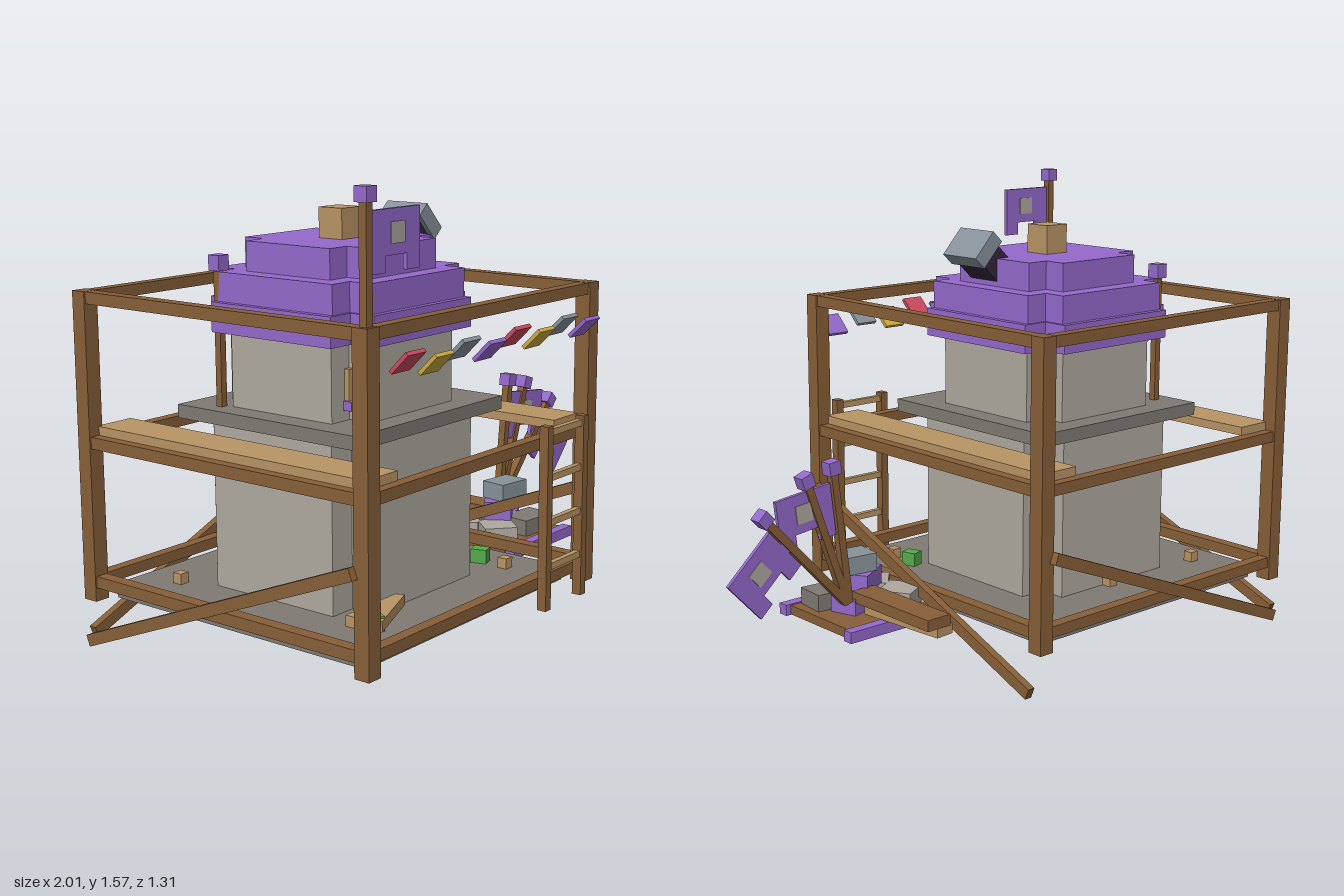
import * as THREE from 'three';

const mat = (name, color) => {
  const m = new THREE.MeshStandardMaterial({ color });
  m.name = name;
  return m;
};

export function createModel() {
  const M = {
    wood: mat('brown wood', 0x875f38),
    plank: mat('light plank', 0xb89464),
    purple: mat('purple', 0x9469cc),
    stone: mat('light stone', 0xaea89f),
    slab: mat('dark stone', 0x7f7a73),
    iron: mat('grey iron', 0x88929a),
    red: mat('red cloth', 0xcc4a5e),
    yellow: mat('yellow cloth', 0xcfab40),
    green: mat('green', 0x54aa4a),
    dark: mat('dark opening', 0x33263a),
  };
  const model = new THREE.Group();
  model.name = 'watchtower';
  const CX = -0.37, CZ = -0.025;

  const box = (name, m, w, h, d, x, y, z, parent = model) => {
    const mesh = new THREE.Mesh(new THREE.BoxGeometry(w, h, d), m);
    mesh.position.set(x, y, z);
    mesh.name = name;
    parent.add(mesh);
    return mesh;
  };
  const group = (name, x = 0, y = 0, z = 0) => {
    const g = new THREE.Group();
    g.name = name;
    g.position.set(x, y, z);
    model.add(g);
    return g;
  };

  // Plus-shaped storey; outline extruded upward so the notched corners stay clean
  const plus = (name, m, a, b, y0, y1) => {
    const pts = [[a, -b], [a, b], [b, b], [b, a], [-b, a], [-b, b], [-a, b], [-a, -b], [-b, -b], [-b, -a], [b, -a], [b, -b]];
    const shape = new THREE.Shape(pts.map(([x, y]) => new THREE.Vector2(x, y)));
    const g = new THREE.ExtrudeGeometry(shape, { depth: y1 - y0, bevelEnabled: false });
    g.rotateX(-Math.PI / 2);
    const mesh = new THREE.Mesh(g, m);
    mesh.position.set(CX, y0, CZ);
    mesh.name = name;
    model.add(mesh);
  };

  // Base: a top plate with skirts, open underneath
  box('baseTop', M.slab, 1.06, 0.01, 1.06, CX, 0.195, CZ);
  for (const s of [-1, 1]) {
    box('baseSkirt', M.slab, 0.008, 0.04, 1.06, CX + s * 0.526, 0.17, CZ);
    box('baseSkirt', M.slab, 1.044, 0.04, 0.008, CX, 0.17, CZ + s * 0.526);
  }

  // Tower
  plus('lowerWall', M.stone, 0.345, 0.25, 0.2, 0.755);
  box('ledge', M.slab, 0.756, 0.045, 0.756, CX, 0.778, CZ);
  plus('upperWall', M.stone, 0.295, 0.21, 0.8, 1.047);
  plus('roofLower', M.purple, 0.343, 0.25, 1.047, 1.145);
  plus('roofMiddle', M.purple, 0.322, 0.24, 1.145, 1.24);
  plus('roofUpper', M.purple, 0.256, 0.175, 1.24, 1.337);
  box('chimney', M.plank, 0.097, 0.1, 0.097, CX, 1.387, CZ);

  // Hooded roof vent, tilted outward
  const vent = group('roofVent', -0.06, 1.372, 0.024);
  vent.rotation.z = 0.75;
  box('ventHood', M.iron, 0.054, 0.118, 0.168, 0, 0, 0, vent);
  box('ventThroat', M.dark, 0.1, 0.093, 0.134, -0.075, 0, 0, vent);

  // Corner finial and wall lamps
  box('finialPole', M.wood, 0.024, 0.44, 0.024, -0.68, 1.02, -0.27);
  box('finialCap', M.purple, 0.046, 0.05, 0.046, -0.68, 1.268, -0.27);
  for (const x of [-0.592, -0.148]) {
    box('lampStem', M.plank, 0.022, 0.1, 0.018, x, 0.915, 0.194);
    box('lampFoot', M.purple, 0.04, 0.03, 0.034, x, 0.85, 0.204);
  }

  // Timber frame
  const px = [-0.948, 0.209], pz = [-0.605, 0.555];
  for (const x of px) for (const z of pz) box('framePost', M.wood, 0.055, 1.03, 0.055, x, 0.665, z);
  for (const y of [0.216, 0.686, 1.16]) {
    for (const x of px) box('sideBeam', M.wood, 0.043, 0.039, 1.16, x, y, CZ);
    for (const z of pz) box('crossBeam', M.wood, 1.156, 0.038, 0.041, CX, y, z);
  }
  for (const x of [-0.86, 0.118]) box('walkway', M.plank, 0.148, 0.03, 1.13, x, 0.72, CZ);

  // Diagonal braces
  for (const x of [-0.987, 0.248]) {
    box('sideBrace', M.wood, 0.027, 0.04, 1.22, x, 0.245, CZ - 0.006).rotation.x = -0.382;
  }
  box('backBrace', M.wood, 1.21, 0.04, 0.028, CX, 0.245, -0.644).rotation.z = 0.382;

  // Ladder
  for (const x of [-0.14, 0.07]) box('ladderRail', M.wood, 0.03, 0.612, 0.033, x, 0.456, 0.631);
  for (let i = 0; i < 4; i++) box('ladderRung', M.plank, 0.19, 0.022, 0.02, -0.035, 0.292 + i * 0.149, 0.631);

  // Bunting
  const cloth = [M.red, M.yellow, M.iron, M.purple];
  for (let i = 0; i < 8; i++) {
    const b = box('bunting', cloth[i % 4], 0.085, 0.085, 0.013, -0.834 + i * 0.133, i % 2 ? 1.049 : 1.073, 0.614);
    b.rotation.x = Math.PI / 4;
  }

  // Banner with its origin at the pole cap
  const flagShape = new THREE.Shape([
    [0.018, -0.047], [0.235, -0.047], [0.235, -0.225], [0.174, -0.225], [0.174, -0.178],
    [0.08, -0.178], [0.08, -0.225], [0.018, -0.225],
  ].map(([x, y]) => new THREE.Vector2(x, y)));
  const flagGeo = new THREE.ExtrudeGeometry(flagShape, { depth: 0.014, bevelEnabled: false });
  flagGeo.translate(0, 0, -0.007);
  const banner = (x, y, z, tilt, length, hasFlag) => {
    const g = group('banner', x, y, z);
    g.rotation.z = -tilt;
    box('bannerCap', M.purple, 0.045, 0.045, 0.045, 0, 0, 0, g);
    box('bannerPole', M.wood, 0.027, length, 0.027, 0, -length / 2, 0, g);
    if (!hasFlag) return;
    const flag = new THREE.Mesh(flagGeo, M.purple);
    flag.name = 'bannerCloth';
    g.add(flag);
    box('bannerPatch', M.stone, 0.062, 0.062, 0.02, 0.133, -0.115, 0, g);
  };
  banner(-0.948, 1.547, 0.557, 0, 0.37, true);
  banner(0.593, 0.716, -0.022, 0.12, 0.475, true);
  banner(0.7, 0.69, -0.022, 0.34, 0.475, false);
  banner(0.866, 0.594, -0.022, 0.745, 0.47, true);

  // Side platform
  box('platform', M.wood, 0.36, 0.032, 0.32, 0.42, 0.17, 0.055);
  for (const z of [-0.124, 0.236]) box('platformTrim', M.purple, 0.375, 0.038, 0.038, 0.43, 0.17, z);
  box('looseBeam', M.wood, 0.095, 0.038, 0.392, 0.452, 0.25, -0.194);
  box('loosePlank', M.plank, 0.07, 0.036, 0.34, 0.43, 0.212, -0.205).rotation.y = 0.09;

  // Heap of blocks on the platform: material, size, position, turn
  const blocks = [
    [M.stone, 0.12, 0.058, 0.12, 0.305, 0.215, -0.015, 0.5],
    [M.stone, 0.12, 0.058, 0.12, 0.315, 0.215, 0.13, 0.85],
    [M.slab, 0.155, 0.058, 0.112, 0.488, 0.215, 0.145, -0.09],
    [M.purple, 0.11, 0.058, 0.1, 0.465, 0.215, 0.045, 0.3],
    [M.purple, 0.14, 0.066, 0.1, 0.41, 0.278, 0.068, 0.55],
    [M.iron, 0.13, 0.062, 0.1, 0.438, 0.343, 0.075, -0.12],
  ];
  for (const [m, w, h, d, x, y, z, turn] of blocks) box('block', m, w, h, d, x, y, z).rotation.y = turn;

  // Debris on the base
  box('fallenPlank', M.plank, 0.26, 0.035, 0.06, -0.64, 0.225, 0.37).rotation.y = 0.4;
  for (const [x, z] of [[0.022, 0.365], [-0.77, -0.39], [-0.74, 0.33], [-0.34, -0.388]]) {
    box('chip', M.plank, 0.036, 0.036, 0.036, x, 0.219, z);
  }
  for (const [x, z, turn] of [[-0.725, 0.4, -0.5], [0.025, 0.26, 0.3]]) {
    box('plant', M.green, 0.045, 0.105, 0.055, x, 0.196, z).rotation.y = turn;
  }
  return model;
}
